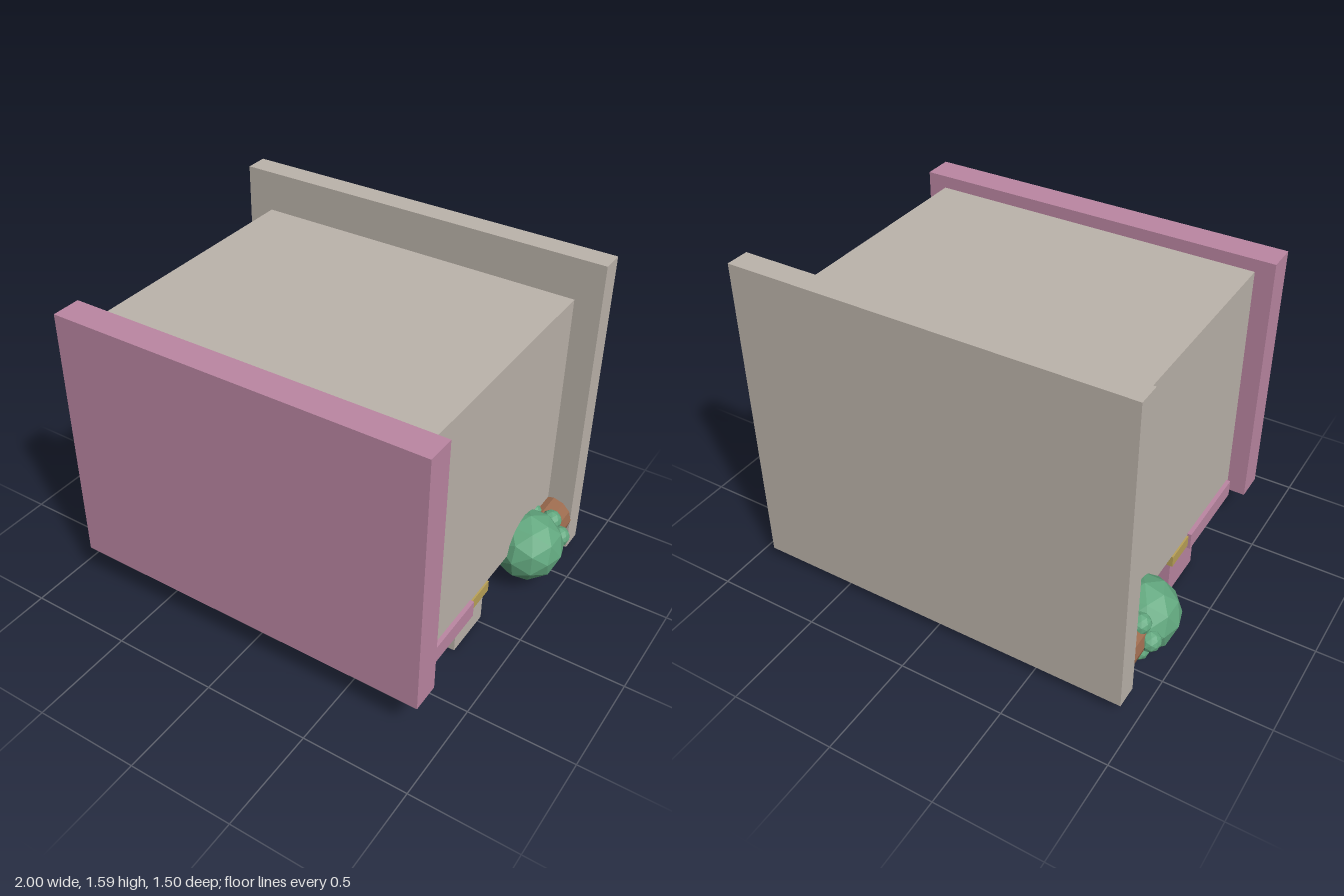
import * as THREE from 'three';

const mat = (name, color, flatShading = true) => {
  const m = new THREE.MeshStandardMaterial({ color, flatShading });
  m.name = name;
  return m;
};

export function createModel() {
  const beige = mat('beige', 0xbcb4ab);
  const pink = mat('pink', 0xbc87a3);
  const gold = mat('gold', 0xbaa257);
  const blue = mat('pale blue', 0xa2bfc4);
  const brown = mat('brown', 0x9c6b4e);
  const green = mat('green', 0x62a87f);
  const model = new THREE.Group();
  model.name = 'shop';

  const add = (name, geometry, material, x, y, z, parent = model) => {
    const mesh = new THREE.Mesh(geometry, material);
    mesh.name = name;
    mesh.position.set(x, y, z);
    parent.add(mesh);
    return mesh;
  };
  // Box given by its lower and upper bounds on each axis
  const box = (name, material, [x0, x1], [y0, y1], [z0, z1]) =>
    add(name, new THREE.BoxGeometry(x1 - x0, y1 - y0, z1 - z0), material,
      (x0 + x1) / 2, (y0 + y1) / 2, (z0 + z1) / 2);

  // The shop lies on its face: its roof points to +z, its shop front to -y
  box('body', beige, [-0.8, 0.8], [0.25, 1.4], [-0.64, 0.61]);
  box('roof', pink, [-0.89, 0.89], [0.19, 1.46], [0.61, 0.75]);
  box('base', beige, [-0.925, 0.925], [0.055, 1.595], [-0.75, -0.64]);
  box('signBoard', pink, [-0.82, 0.82], [0.175, 0.26], [0.14, 0.59]);
  box('goldTrim', gold, [-0.807, 0.807], [0.19, 0.247], [-0.025, 0.14]);

  // Striped awning
  for (let i = 0; i < 8; i++) {
    const x = -0.698 + i * 0.198;
    box('awningStripe', i % 2 ? beige : pink, [x - 0.097, x + 0.097], [0.015, 0.235], [-0.022, 0.23]);
  }

  // Door with rail and knob
  box('door', brown, [-0.2, 0.2], [0.205, 0.255], [-0.64, -0.03]);
  box('doorRail', gold, [-0.2, 0.18], [0.183, 0.23], [-0.24, -0.205]);
  add('doorKnob', new THREE.IcosahedronGeometry(0.022, 1), gold, 0.08, 0.19, -0.3);

  for (const s of [1, -1]) {
    // Windows with mullions
    const pane = [0.22 * s, 0.76 * s].sort((a, b) => a - b);
    box('window', blue, pane, [0.21, 0.255], [-0.6, -0.025]);
    for (const x of [0.23, 0.48, 0.75]) {
      box('mullion', blue, [x * s - 0.014, x * s + 0.014], [0.188, 0.245], [-0.6, -0.022]);
    }

    // Sign lamps
    const lamp = new THREE.CylinderGeometry(0.042, 0.042, 0.088, 12).rotateX(Math.PI / 2);
    add('lamp', lamp, gold, 0.73 * s, 0.136, 0.43);

    // Hanging cones with their tips towards the awning
    const cone = new THREE.ConeGeometry(0.125, 0.285, 12).rotateX(Math.PI / 2);
    add('cone', cone, pink, 0.59 * s, 0.13, -0.1625);

    // Potted bushes
    const bush = new THREE.Group();
    bush.name = 'pottedBush';
    bush.position.set(0.83 * s, 0.225, 0);
    const pot = new THREE.CylinderGeometry(0.098, 0.098, 0.15, 12).rotateX(Math.PI / 2);
    add('pot', pot, brown, 0, 0, -0.565, bush);
    add('foliage', new THREE.IcosahedronGeometry(0.17, 1), green, 0, 0, -0.375, bush);
    for (let i = 0; i < 6; i++) {
      const a = i * Math.PI / 3;
      add('smallLeafBall', new THREE.IcosahedronGeometry(0.05, 1), green,
        0.1 * Math.cos(a), 0.087 * Math.sin(a), -0.507, bush);
    }
    model.add(bush);
  }
  return model;
}
